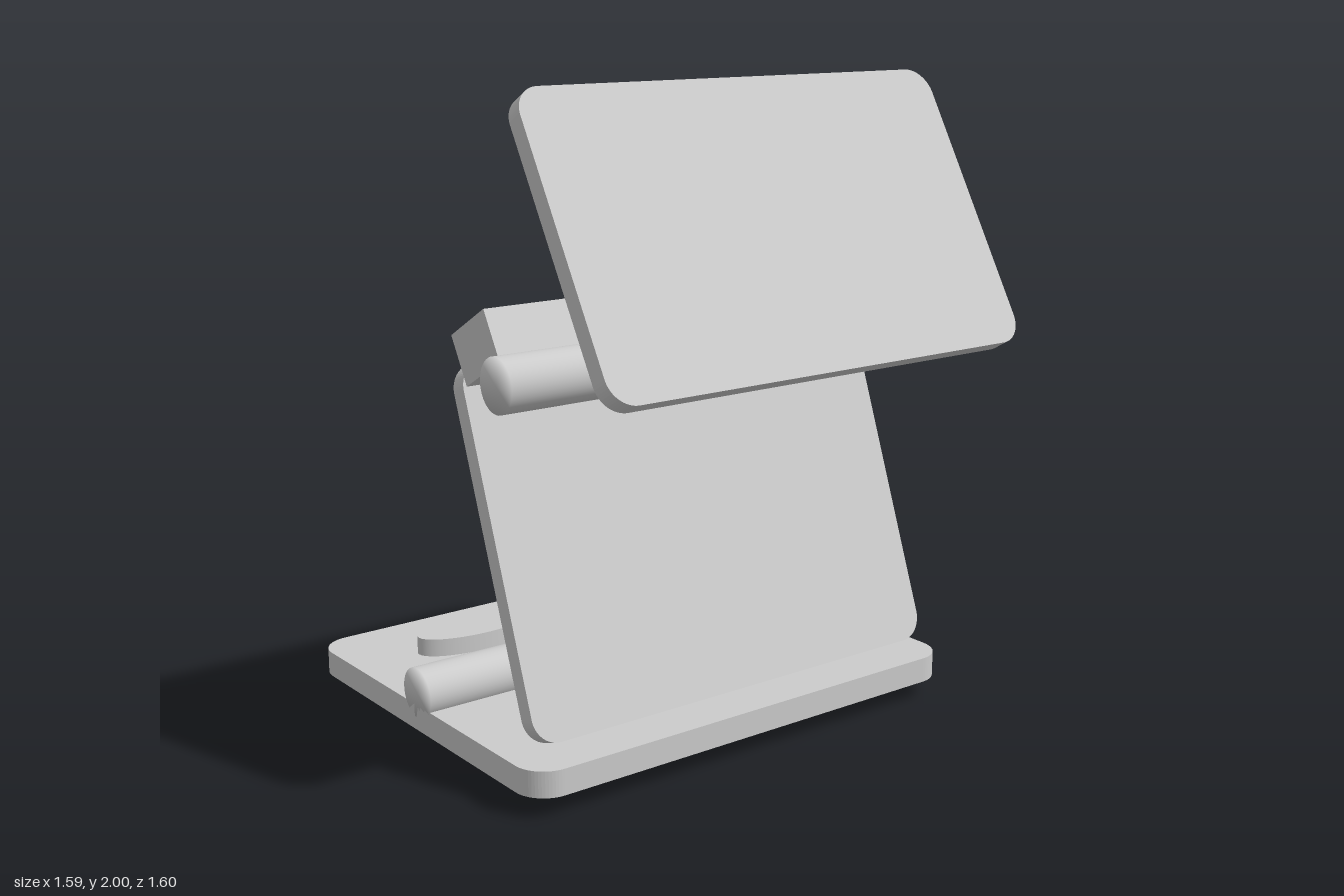
import * as THREE from 'three';
import { mergeVertices } from 'three/addons/utils/BufferGeometryUtils.js';

const grey = new THREE.MeshStandardMaterial({ color: 0xcccccc });
grey.name = 'light grey';

// Rounded rectangle plate in the xy plane, centred, thickness along z
function plate(w, h, t, r) {
  const x = w / 2, y = h / 2, s = new THREE.Shape();
  s.moveTo(-x + r, -y);
  s.lineTo(x - r, -y);
  s.absarc(x - r, -y + r, r, -Math.PI / 2, 0);
  s.lineTo(x, y - r);
  s.absarc(x - r, y - r, r, 0, Math.PI / 2);
  s.lineTo(-x + r, y);
  s.absarc(-x + r, y - r, r, Math.PI / 2, Math.PI);
  s.lineTo(-x, -y + r);
  s.absarc(-x + r, -y + r, r, Math.PI, Math.PI * 1.5);
  const g = new THREE.ExtrudeGeometry(s, { depth: t, bevelEnabled: false, curveSegments: 8 });
  return g.translate(0, 0, -t / 2);
}

// Round bar along x, with normals blended over its end rims
function bar(r, length) {
  let g = new THREE.CylinderGeometry(r, r, length, 40).rotateZ(Math.PI / 2);
  g.deleteAttribute('uv');
  g.deleteAttribute('normal');
  g = mergeVertices(g, 1e-4);
  g.computeVertexNormals();
  return g;
}

export function createModel() {
  const model = new THREE.Group();
  model.name = 'foldingStand';

  function add(name, geometry, x, y, z, tiltDegrees = 0) {
    const mesh = new THREE.Mesh(geometry, grey);
    mesh.name = name;
    mesh.position.set(x, y, z);
    mesh.rotation.x = THREE.MathUtils.degToRad(tiltDegrees);
    model.add(mesh);
  }

  // Base plate with its hinge bar
  add('base', plate(1.59, 1.29, 0.08, 0.1), 0, 0.103, -0.155, -90);
  add('lowerHingeBar', bar(0.08, 1.59), 0, 0.182, -0.147);

  // Oval feet passing through the base
  for (const side of [1, -1]) {
    const oval = new THREE.CylinderGeometry(1, 1, 0.2, 40).scale(0.217, 1, 0.089);
    add(side > 0 ? 'leftFoot' : 'rightFoot', oval, side * 0.36, 0.1, -0.516);
  }

  // Leaning support arm
  add('supportArm', plate(1.49, 1.095, 0.056, 0.08), 0, 0.698, 0.215, -20);

  // Upper hinge bar and block
  add('upperHingeBar', bar(0.08, 1.59), 0, 1.212, 0.33);
  add('hingeBlock', new THREE.BoxGeometry(1.49, 0.155, 0.2), 0, 1.279, 0.146, -30);

  // Tilted front panel
  add('frontPanel', plate(1.49, 0.89, 0.058, 0.08), 0, 1.6, 0.553, -30);

  return model;
}
